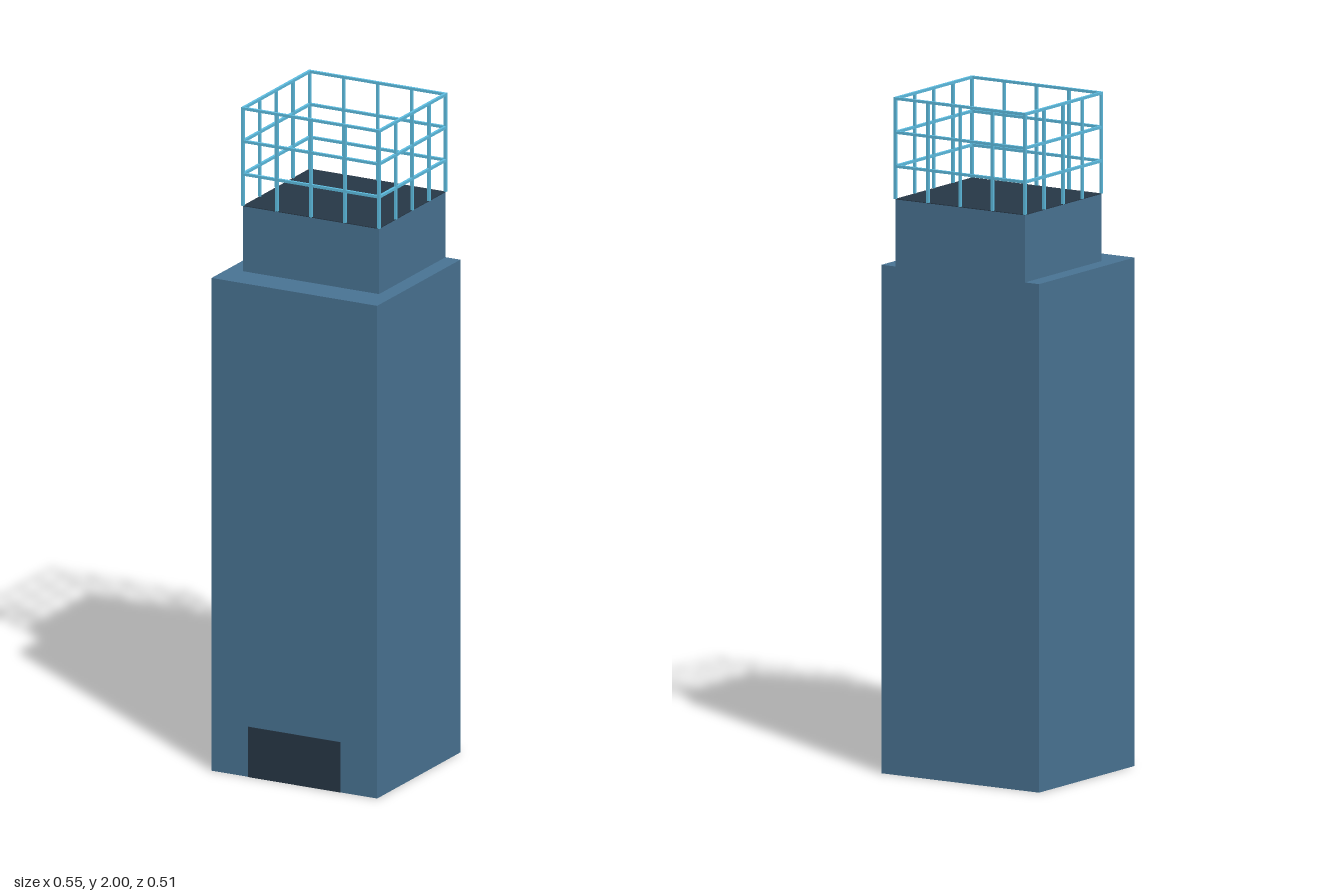
import * as THREE from 'three';

export function createModel() {
  const model = new THREE.Group();
  model.name = 'tower';

  const paint = (name, color) => {
    const material = new THREE.MeshStandardMaterial({ color });
    material.name = name;
    return material;
  };
  const wallBlue = paint('wall blue', 0x4a7595);
  const darkSlate = paint('dark slate', 0x273847);
  const railBlue = paint('rail blue', 0x5fc0e4);
  const baseBlack = paint('base black', 0x0d2426);

  // Box given by its size and the centre of its underside
  function box(name, material, [w, h, d], [x, y, z], parent = model) {
    const mesh = new THREE.Mesh(new THREE.BoxGeometry(w, h, d), material);
    mesh.position.set(x, y + h / 2, z);
    mesh.name = name;
    parent.add(mesh);
  }

  // Main shaft with a dark underside, and the set-back top storey
  const shaftFaces = [wallBlue, wallBlue, wallBlue, baseBlack, wallBlue, wallBlue];
  box('shaft', shaftFaces, [0.548, 1.5, 0.5], [0, 0, 0]);
  box('topStorey', wallBlue, [0.45, 0.198, 0.4], [0, 1.5, -0.05]);

  // Roof deck and entrance
  box('roofDeck', darkSlate, [0.45, 0.002, 0.4], [0, 1.698, -0.05]);
  box('door', darkSlate, [0.304, 0.153, 0.004], [0, 0, 0.25]);

  // Railing cage around the roof
  const cage = new THREE.Group();
  cage.name = 'roofRailing';
  cage.position.set(0, 1.7, -0.05);
  model.add(cage);
  const halfX = 0.225, halfZ = 0.2, t = 0.008, height = 0.3;

  // Three levels of horizontal rails
  for (const top of [0.1, 0.2, 0.3]) {
    for (const side of [-1, 1]) {
      box('railAcross', railBlue, [2 * halfX + t, t, t], [0, top - t, side * halfZ], cage);
      box('railAlong', railBlue, [t, t, 2 * halfZ - t], [side * halfX, top - t, 0], cage);
    }
  }

  // Posts at quarter points of each side, corners counted once
  for (let i = 0; i <= 4; i++) {
    for (let j = 0; j <= 4; j++) {
      if (i % 4 && j % 4) continue;
      const x = halfX * (i / 2 - 1), z = halfZ * (j / 2 - 1);
      box('post', railBlue, [t, height, t], [x, 0, z], cage);
    }
  }

  return model;
}
